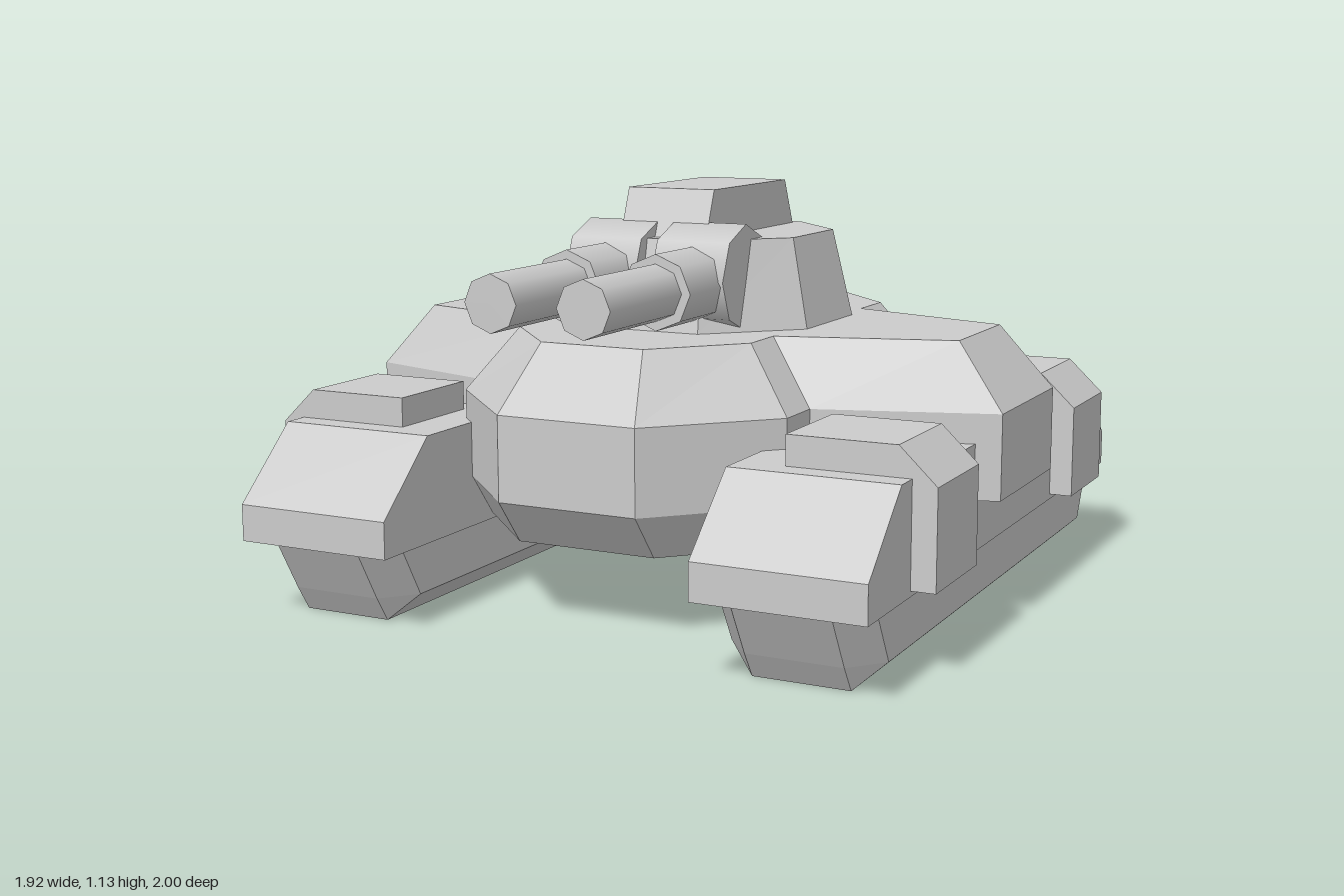
import * as THREE from 'three';

const flat = new THREE.MeshStandardMaterial({ color: 0xcccccc, flatShading: true });
const smooth = new THREE.MeshStandardMaterial({ color: 0xcccccc });

function add(parent, name, geometry, material = flat) {
  const mesh = new THREE.Mesh(geometry, material);
  mesh.name = name;
  parent.add(mesh);
  return mesh;
}

// Full plan outline from its +x half, listed front to back as [x, z]
const mirrored = (half) => [...half, ...half.map(([x, z]) => [-x, z]).reverse()];

// Solid through stacked plan outlines: levels are [y, halfOutline], bottom to top
function stack(levels) {
  const rings = levels.map(([, half]) => mirrored(half));
  const n = rings[0].length;
  const pos = [];
  const put = (level, i) => pos.push(rings[level][i][0], levels[level][0], rings[level][i][1]);
  for (let l = 0; l < rings.length - 1; l++) {
    for (let i = 0; i < n; i++) {
      const j = (i + 1) % n;
      put(l, i); put(l, j); put(l + 1, j);
      put(l, i); put(l + 1, j); put(l + 1, i);
    }
  }
  const caps = (level) => THREE.ShapeUtils.triangulateShape(
    rings[level].map(([x, z]) => new THREE.Vector2(x, -z)), []);
  const top = rings.length - 1;
  for (const [a, b, c] of caps(top)) { put(top, a); put(top, b); put(top, c); }
  for (const [a, b, c] of caps(0)) { put(0, a); put(0, c); put(0, b); }
  const geometry = new THREE.BufferGeometry();
  geometry.setAttribute('position', new THREE.Float32BufferAttribute(pos, 3));
  geometry.computeVertexNormals();
  return geometry;
}

// Prism centred on its depth, extruded along z
function prism(points, depth) {
  const shape = new THREE.Shape(points.map(([x, y]) => new THREE.Vector2(x, y)));
  return new THREE.ExtrudeGeometry(shape, { depth, bevelEnabled: false }).translate(0, 0, -depth / 2);
}

// Side profile given as [z, y], extruded along x
const sidePrism = (points, width) => prism(points, width).rotateY(-Math.PI / 2);

export function createModel() {
  const model = new THREE.Group();
  model.name = 'tank';

  // Hull: octagonal body with a wing reaching over each track
  const wall = [[0.2, 0.825], [0.485, 0.535], [0.485, 0.39], [0.96, 0.24],
    [0.96, -0.21], [0.485, -0.36], [0.485, -0.51], [0.2, -0.795]];
  const deck = [[0.15, 0.685], [0.35, 0.465], [0.35, 0.325], [0.82, 0.185],
    [0.82, -0.155], [0.35, -0.3], [0.35, -0.455], [0.15, -0.655]];
  add(model, 'hull', stack([[0.35, wall], [0.58, wall], [0.755, deck]]));

  // Belly: octagon narrowing towards the bottom
  const octagon = [wall[0], wall[1], wall[6], wall[7]];
  const belly = octagon.map(([x, z]) => [x, z - Math.sign(z) * 0.1]);
  add(model, 'belly', stack([[0.225, belly], [0.35, octagon]]));

  // Track units
  const track = (xc, zc, xs, zs) => [[xc, zc], [xs, zs], [xs, -zs], [xc, -zc]];
  for (const side of [1, -1]) {
    const unit = new THREE.Group();
    unit.name = side > 0 ? 'leftTrackUnit' : 'rightTrackUnit';
    model.add(unit);

    add(unit, 'track', stack([
      [0, track(0.13, 0.855, 0.13, 0.855)],
      [0.07, track(0.13, 0.9, 0.207, 0.81)],
      [0.21, track(0.13, 0.98, 0.207, 0.89)],
    ])).position.x = side * 0.668;

    add(unit, 'fender', sidePrism([[1, 0.21], [1, 0.31], [0.795, 0.5],
      [-0.795, 0.5], [-1, 0.31], [-1, 0.21]], 0.458)).position.x = side * 0.666;

    for (const [name, z] of [['frontArmorBox', 0.575], ['rearArmorBox', -0.58]]) {
      const profile = [[0.565, 0.225], [0.96, 0.225], [0.96, 0.485], [0.86, 0.58], [0.565, 0.58]];
      add(unit, name, prism(profile.map(([x, y]) => [side * x, y]), 0.3)).position.z = z;
    }
  }

  // Turret
  const turret = new THREE.Group();
  turret.name = 'turret';
  model.add(turret);
  add(turret, 'turretBody', stack([
    [0.755, [[0.155, 0.385], [0.378, 0.165], [0.378, -0.16], [0.155, -0.385]]],
    [1.0, [[0.142, 0.33], [0.325, 0.142], [0.325, -0.138], [0.142, -0.33]]],
  ]));
  add(turret, 'turretRoof', sidePrism([[0.285, 1.0], [0.235, 1.13], [-0.235, 1.13], [-0.292, 1.0]], 0.262));

  // Twin guns
  for (const side of [1, -1]) {
    const gun = new THREE.Group();
    gun.name = side > 0 ? 'leftGun' : 'rightGun';
    gun.position.x = side * 0.132;
    turret.add(gun);

    const mount = new THREE.CylinderGeometry(0.145, 0.145, 0.215, 8).rotateZ(Math.PI / 2);
    add(gun, 'gunMount', mount, smooth).position.set(0, 0.898, 0.262);

    for (const [name, radius, from, to] of [['barrelSleeve', 0.1, 0.3, 0.58], ['barrel', 0.075, 0.5, 0.955]]) {
      const tube = new THREE.CylinderGeometry(radius, radius, to - from, 8).rotateX(Math.PI / 2);
      add(gun, name, tube, smooth).position.set(0, 0.887, (from + to) / 2);
    }
  }

  return model;
}
